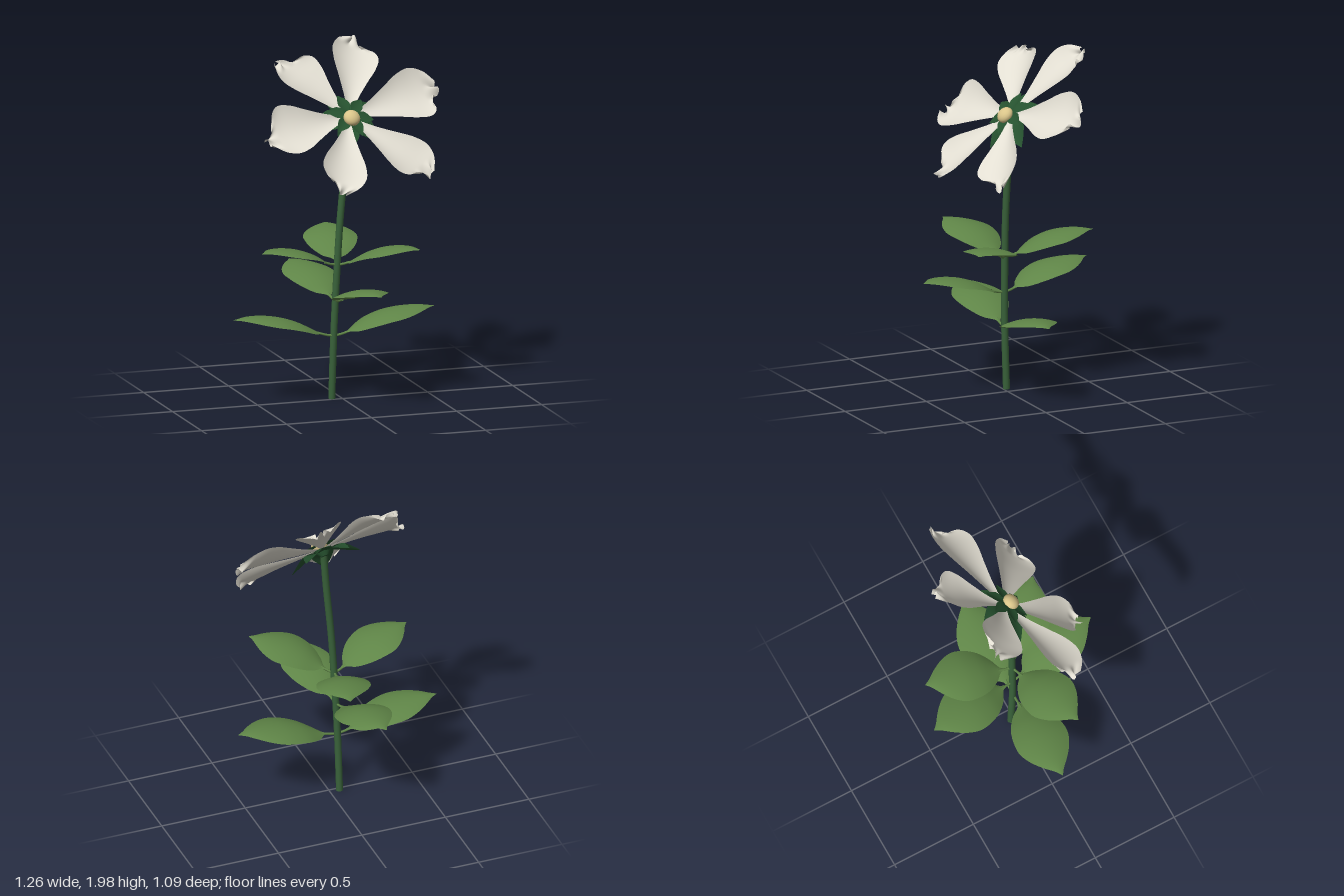
import * as THREE from 'three';

const material = (name, color, side = THREE.FrontSide) =>
  Object.assign(new THREE.MeshStandardMaterial({ color, side }), { name });

// Curved sheet: sections are [along, height, halfWidth]; x runs along, y across, z is height.
function blade(sections, bend, nu = 28, nv = 14) {
  const curve = new THREE.CatmullRomCurve3(sections.map((p) => new THREE.Vector3(...p)));
  const pos = [], index = [], p = new THREE.Vector3();
  for (let i = 0; i <= nu; i++) {
    for (let j = 0; j <= nv; j++) {
      const s = i / nu, t = (j / nv) * 2 - 1;
      curve.getPoint(s, p);
      const v = new THREE.Vector3(p.x, p.z * t, p.y);
      bend(v, s, t, p.z);
      pos.push(v.x, v.y, v.z);
      if (i < nu && j < nv) {
        const a = i * (nv + 1) + j, b = a + nv + 1;
        index.push(a, b, a + 1, b, b + 1, a + 1);
      }
    }
  }
  const g = new THREE.BufferGeometry();
  g.setAttribute('position', new THREE.Float32BufferAttribute(pos, 3));
  g.setIndex(index);
  g.computeVertexNormals();
  return g;
}

export function createModel() {
  const petalMat = material('ivory petal', 0xe2ded2, THREE.DoubleSide);
  const leafMat = material('leaf green', 0x5f8547, THREE.DoubleSide);
  const sepalMat = material('dark sepal green', 0x26522f, THREE.DoubleSide);
  const stemMat = material('stem green', 0x39623a);
  const heartMat = material('pale yellow', 0xdac58a);

  const model = new THREE.Group();
  model.name = 'flower';
  const add = (parent, name, geometry, mat) => {
    const mesh = new THREE.Mesh(geometry, mat);
    mesh.name = name;
    parent.add(mesh);
    return mesh;
  };

  // Stem, gently curved, with a closed foot
  const stemCurve = new THREE.CatmullRomCurve3([
    [-0.057, 0, -0.02], [-0.05, 0.37, -0.006], [-0.038, 0.65, 0], [-0.018, 1, 0.004],
    [0.015, 1.35, 0.0], [0.035, 1.58, -0.01],
  ].map((p) => new THREE.Vector3(...p)));
  add(model, 'stem', new THREE.TubeGeometry(stemCurve, 40, 0.02, 12), stemMat);
  const foot = add(model, 'stemFoot', new THREE.CircleGeometry(0.02, 12), stemMat);
  foot.rotation.x = Math.PI / 2;
  foot.position.set(-0.057, 0.001, -0.02);

  // Leaves: [base x, base y, tip dx, tip dz]
  const leafShape = [
    [0.1, 0.008, 0.008], [0.14, 0.015, 0.016], [0.21, 0.035, 0.066], [0.35, 0.078, 0.123], [0.5, 0.108, 0.148],
    [0.62, 0.122, 0.15], [0.75, 0.13, 0.121], [0.87, 0.131, 0.07], [0.95, 0.126, 0.026], [1.01, 0.121, 0.002],
  ];
  const leaves = [
    [-0.05, 0.37, -0.585, -0.01], [-0.05, 0.37, 0.585, 0.0],
    [-0.043, 0.57, 0.085, 0.535], [-0.043, 0.57, -0.085, -0.54],
    [-0.035, 0.775, 0.375, 0.335], [-0.035, 0.775, 0.1, -0.49], [-0.035, 0.775, -0.485, 0.15],
  ];
  for (const [x, y, dx, dz] of leaves) {
    const length = Math.hypot(dx, dz);
    const leaf = new THREE.Group();
    leaf.name = 'leaf';
    leaf.position.set(x, y, 0);
    leaf.rotation.y = -Math.atan2(dz, dx);
    model.add(leaf);

    // Blade arches over, its edges drooping
    const g = blade(leafShape.map(([r, h, w]) => [r * length, h, w]),
      (v, s, t, w) => { v.z -= 0.2 * w * t * t; });
    g.rotateX(-Math.PI / 2);
    add(leaf, 'leafBlade', g, leafMat);

    // Short stalk from the stem
    const stalk = new THREE.CatmullRomCurve3([
      new THREE.Vector3(0, -0.008, 0), new THREE.Vector3(0.08 * length, 0.0, 0),
      new THREE.Vector3(0.16 * length, 0.015, 0),
    ]);
    add(leaf, 'leafStalk', new THREE.TubeGeometry(stalk, 6, 0.007, 8), leafMat);
  }

  // Flower head, tilted so its local z axis faces up and forward
  const head = new THREE.Group();
  head.name = 'flowerHead';
  const n = new THREE.Vector3(0.1, 0.7, 0.7).normalize();
  const ex = new THREE.Vector3(1, 0, 0).addScaledVector(n, -n.x).normalize();
  const ey = new THREE.Vector3().crossVectors(n, ex);
  head.quaternion.setFromRotationMatrix(new THREE.Matrix4().makeBasis(ex, ey, n));
  head.position.set(0.04, 1.607, 0.0);
  model.add(head);

  const petalShape = [
    [0.03, -0.006, 0.012], [0.14, -0.004, 0.047], [0.25, 0.0, 0.092], [0.35, 0.002, 0.135],
    [0.43, 0.001, 0.147], [0.49, 0.0, 0.113], [0.525, -0.004, 0.05],
  ];
  const sepalShape = [
    [0.01, -0.025, 0.015], [0.06, -0.022, 0.055], [0.11, -0.032, 0.065], [0.165, -0.055, 0.038], [0.215, -0.075, 0.002],
  ];
  const innerShape = [
    [0.01, 0.012, 0.012], [0.04, 0.014, 0.028], [0.08, 0.012, 0.036], [0.11, 0.01, 0.022], [0.14, 0.008, 0.002],
  ];
  const cup = (v, s, t, w) => { v.z += 0.2 * w * t * t; };

  // Petals: [angle in degrees, length scale, width scale], cupped forward with a crumpled point
  const petals = [
    [15.5, 1.07, 1.1], [73, 0.97, 0.92], [131, 0.9, 0.92], [195, 1, 1.08], [250.5, 0.96, 0.88], [314, 1, 0.93],
  ];
  petals.forEach(([degrees, long, wide], k) => {
    const g = blade(petalShape.map(([r, h, w]) => [r * long, h, w * wide]), (v, s, t, w) => {
      const c = Math.max(0, (s - 0.8) / 0.2);
      v.x += 0.035 * t * s ** 3 + 0.045 * c * Math.exp(-10 * t * t);
      v.y += 0.01 * c * Math.sin(7 * t + k);
      v.z += 0.31 * w * t * t + 0.016 * c * Math.sin(9 * t + 2 * k);
    }, 36, 24);
    add(head, 'petal', g, petalMat).rotation.z = (degrees * Math.PI) / 180;
  });

  // Five broad drooping sepals behind the petals
  for (let k = 0; k < 5; k++) {
    const angle = ((40 + 72 * k) * Math.PI) / 180;
    add(head, 'outerSepal', blade(sepalShape, cup, 14, 8), sepalMat).rotation.z = angle;
  }

  // Small flat sepals in the gaps between the petals
  for (let k = 0; k < 6; k++) {
    const angle = ((48 + 60 * k) * Math.PI) / 180;
    add(head, 'innerSepal', blade(innerShape, cup, 14, 8), sepalMat).rotation.z = angle;
  }

  // Cup joining the head to the stem
  const calyx = add(head, 'calyx', new THREE.CylinderGeometry(0.055, 0.022, 0.04, 16), sepalMat);
  calyx.rotation.x = Math.PI / 2;
  calyx.position.z = -0.026;

  // Yellow heart
  const heart = add(head, 'heart', new THREE.SphereGeometry(0.048, 20, 14), heartMat);
  heart.scale.z = 0.75;
  heart.position.set(0, -0.025, 0.025);

  return model;
}
